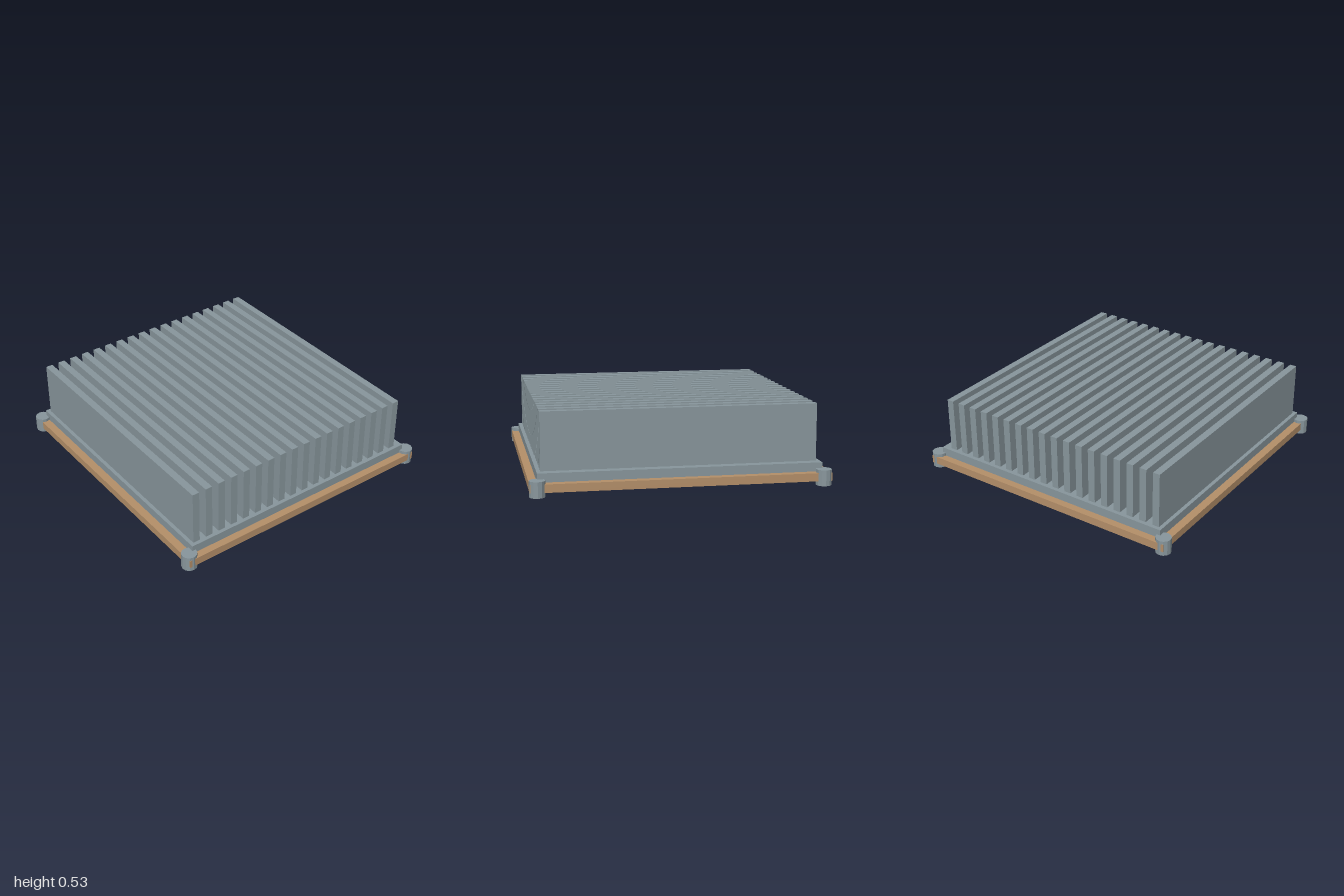
import * as THREE from 'three';

const metal = new THREE.MeshStandardMaterial({ name: 'greyMetal', color: 0x88969c, flatShading: true });
const copper = new THREE.MeshStandardMaterial({ name: 'copperBrown', color: 0xb48f69, flatShading: true });

export function createModel() {
  const model = new THREE.Group();
  model.name = 'heatSink';

  const add = (name, geometry, material, x, y, z) => {
    const mesh = new THREE.Mesh(geometry, material);
    mesh.name = name;
    mesh.position.set(x, y, z);
    model.add(mesh);
  };
  // Box given by its width, bottom, top and depth
  const slab = (name, material, width, bottom, top, depth, x = 0) =>
    add(name, new THREE.BoxGeometry(width, top - bottom, depth), material, x, (bottom + top) / 2, 0);

  // Stacked plates
  slab('copperPlate', copper, 1.95, 0.03, 0.085, 1.994);
  slab('finBase', metal, 1.838, 0.085, 0.145, 1.89);

  // Row of cooling fins, set slightly to one side
  for (let i = 0; i < 18; i++) {
    slab(`fin${i + 1}`, metal, 0.05, 0.145, 0.533, 1.838, -0.868 + i * 0.1);
  }

  // Corner posts
  const post = new THREE.CylinderGeometry(0.053, 0.053, 0.107, 12);
  for (const x of [-0.947, 0.947]) {
    for (const z of [-0.947, 0.947]) {
      add(`${z > 0 ? 'front' : 'back'}${x > 0 ? 'Left' : 'Right'}Post`, post, metal, x, 0.0535, z);
    }
  }
  return model;
}
